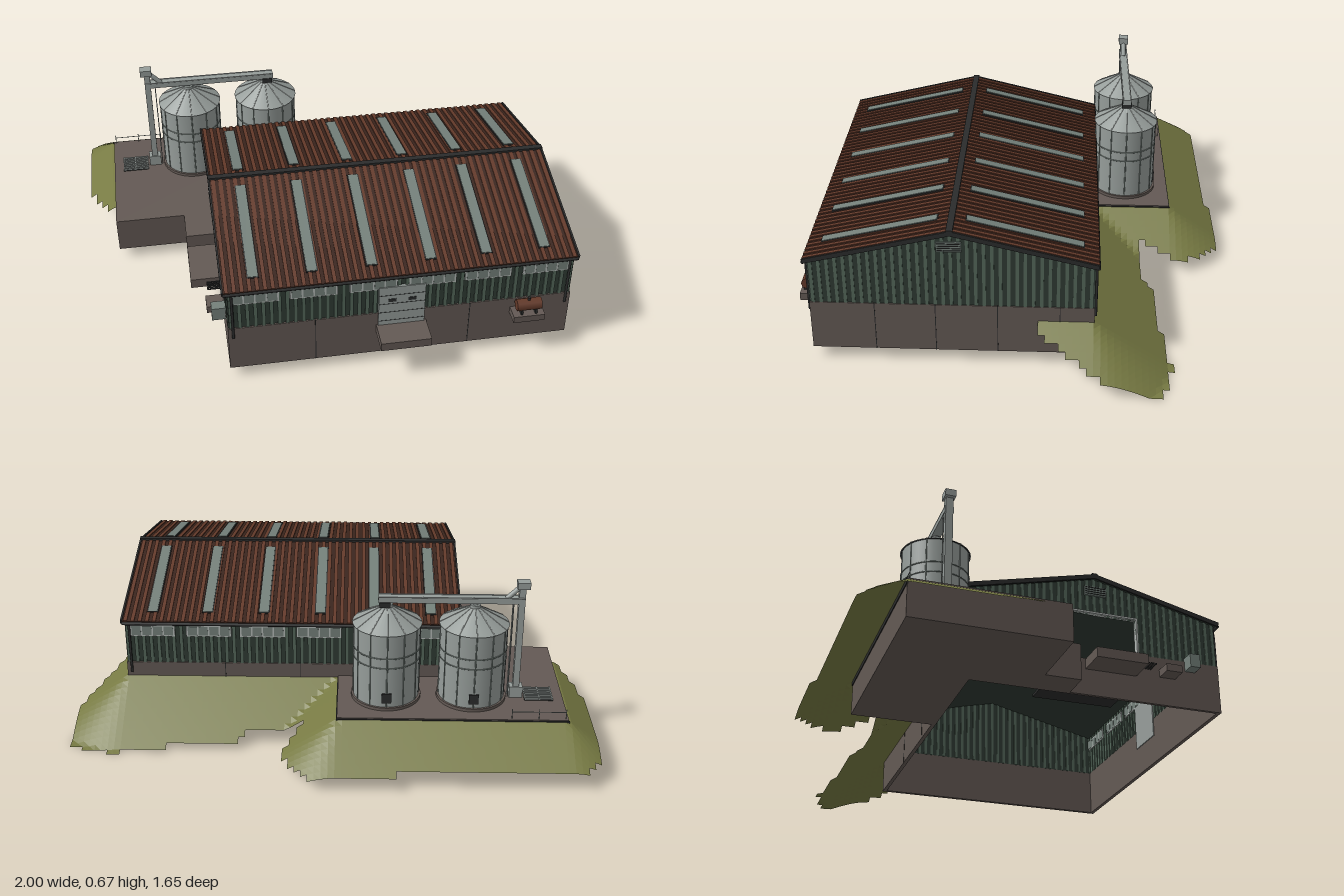
import * as THREE from 'three';

const mat = (name, color, side = THREE.FrontSide) => {
  const m = new THREE.MeshStandardMaterial({ color, side });
  m.name = name;
  return m;
};

export function createModel() {
  const root = new THREE.Group();
  root.name = 'farmBuilding';
  const M = {
    concrete: mat('concrete', 0x635954),
    dark: mat('darkSteel', 0x2b2c2c),
    green: mat('greenCladding', 0x54675a),
    greenDark: mat('darkGreenCladding', 0x2f3a33),
    rust: mat('rustRoof', 0x643a2a),
    rustDark: mat('darkRustRoof', 0x3a241c),
    steel: mat('galvanisedSteel', 0x969d9a),
    glass: mat('skylight', 0x74807a),
    trim: mat('paleTrim', 0xb2b7b4),
    grass: mat('grass', 0x777a43, THREE.DoubleSide),
  };
  const add = (name, geo, m, parent = root) => {
    const mesh = new THREE.Mesh(geo, m);
    mesh.name = name;
    parent.add(mesh);
    return mesh;
  };
  // box from its lowest to its highest corner
  const box = (name, m, x0, x1, y0, y1, z0, z1, parent) =>
    add(name, new THREE.BoxGeometry(x1 - x0, y1 - y0, z1 - z0)
      .translate((x0 + x1) / 2, (y0 + y1) / 2, (z0 + z1) / 2), m, parent);
  // round bar between two points
  const bar = (name, m, a, b, r = 0.003, parent = root) => {
    const p = new THREE.Vector3(...a), q = new THREE.Vector3(...b), d = q.clone().sub(p);
    const mesh = add(name, new THREE.CylinderGeometry(r, r, d.length(), 8), m, parent);
    mesh.position.copy(p).add(q).multiplyScalar(0.5);
    mesh.quaternion.setFromUnitVectors(new THREE.Vector3(0, 1, 0), d.normalize());
    return mesh;
  };
  const shape = (pts) => new THREE.Shape(pts.map((p) => new THREE.Vector2(...p)));

  // ---- barn dimensions
  const X0 = -0.49, X1 = 0.8, Z0 = -0.3, Z1 = 0.72, ZR = 0.21, T = 0.012;
  const Y0 = 0.045, YP = 0.242, YE = 0.423, YR = 0.545;
  const doorZ0 = 0.1, doorZ1 = 0.38, doorTop = 0.39, floorY = 0.195;
  const roofY = (z) => YR - (YR - YE) * Math.abs(z - ZR) / 0.51;

  // wall outline in (z, y), extruded along x with its outer face at x = 0..-T
  const endWall = (name, m, pts, x) => {
    const g = new THREE.ExtrudeGeometry(shape(pts), { depth: T, bevelEnabled: false }).rotateY(-Math.PI / 2);
    add(name, g, m).position.x = x;
  };
  // plinth, notched at the open doorway
  box('plinthFront', M.concrete, X0 - 0.004, X1 + 0.004, Y0, YP, Z1 - T, Z1 + 0.004);
  box('plinthBack', M.concrete, X0 - 0.004, X1 + 0.004, Y0, YP, Z0 - 0.004, Z0 + T);
  box('plinthLeft', M.concrete, X1 - T, X1 + 0.004, Y0, YP, Z0, Z1);
  endWall('plinthRight', M.concrete, [[Z0, Y0], [Z1, Y0], [Z1, YP], [doorZ1, YP], [doorZ1, floorY],
    [doorZ0, floorY], [doorZ0, YP], [Z0, YP]], X0 + T - 0.004);
  for (const x of [-0.17, 0.12, 0.415]) {
    box('plinthJoint', M.dark, x - 0.0015, x + 0.0015, Y0, YP, Z1, Z1 + 0.005);
    box('plinthJoint', M.dark, x - 0.0015, x + 0.0015, Y0, YP, Z0 - 0.005, Z0);
  }
  for (const z of [-0.18, 0.045, 0.27, 0.49]) box('plinthJoint', M.dark, X1, X1 + 0.005, Y0, YP, z - 0.0015, z + 0.0015);

  // cladding
  box('wallFront', M.greenDark, X0, X1, YP, YE, Z1 - 0.01, Z1 - 0.002);
  box('wallBack', M.greenDark, X0, X1, YP, YE, Z0 + 0.002, Z0 + 0.01);
  endWall('gableLeft', M.greenDark, [[Z0, YP], [Z1, YP], [Z1, YE], [ZR, YR], [Z0, YE]], X1);
  endWall('gableRight', M.greenDark, [[Z0, YP], [doorZ0, YP], [doorZ0, doorTop], [doorZ1, doorTop],
    [doorZ1, YP], [Z1, YP], [Z1, YE], [ZR, YR], [Z0, YE]], X0 + T);
  for (let i = 0; i < 44; i++) {
    const x = X0 + 0.012 + i * 0.0295;
    box('wallRib', M.green, x - 0.007, x + 0.007, YP, YE, Z1 - 0.013, Z1 + 0.003);
    box('wallRib', M.green, x - 0.007, x + 0.007, YP, YE, Z0 - 0.003, Z0 + 0.013);
  }
  for (let i = 0; i < 35; i++) {
    const z = Z0 + 0.01 + i * 0.0294, top = roofY(z) - 0.002;
    box('gableRib', M.green, X1 - 0.015, X1 + 0.003, YP, top, z - 0.006, z + 0.006);
    const open = z > doorZ0 - 0.006 && z < doorZ1 + 0.006;
    box('gableRib', M.green, X0 - 0.003, X0 + 0.015, open ? doorTop : YP, top, z - 0.006, z + 0.006);
  }

  // strip windows along both long walls
  const bays = [-0.39, -0.175, 0.045, 0.265, 0.475, 0.695];
  for (const x of bays) for (const z of [Z1 - 0.005, Z0 + 0.005]) {
    box('windowFrame', M.trim, x - 0.088, x + 0.088, 0.358, 0.406, z - 0.011, z + 0.011);
    for (let k = 0; k < 4; k++) {
      const px = x - 0.063 + k * 0.042;
      box('windowPane', M.glass, px - 0.018, px + 0.018, 0.363, 0.401, z - 0.012, z + 0.012);
    }
  }
  // gable vents with louvres
  for (const [x, s] of [[X1 + 0.003, 1], [X0 - 0.003, -1]]) {
    box('ventPanel', M.glass, x - 0.004, x + 0.004, 0.468, 0.508, 0.17, 0.26);
    for (let k = 0; k < 4; k++) box('ventLouvre', M.dark, x + s * 0.005 - 0.002, x + s * 0.005 + 0.002, 0.474 + k * 0.009, 0.476 + k * 0.009, 0.174, 0.256);
  }

  // ---- roof: two ribbed slopes with skylights
  const slope = Math.atan2(0.127, 0.525), L = 0.54;
  for (const side of [0, Math.PI]) {
    const turn = new THREE.Group();
    turn.name = side ? 'roofBack' : 'roofFront';
    turn.position.set(0.153, 0.551, ZR);
    turn.rotation.y = side;
    const pane = new THREE.Group();
    pane.name = 'roofSlope';
    pane.rotation.x = slope;
    turn.add(pane);
    root.add(turn);
    box('roofLining', M.greenDark, -0.655, 0.655, -0.008, -0.003, 0, L - 0.003, pane);
    box('roofSheet', M.rustDark, -0.658, 0.658, -0.003, 0.001, 0, L, pane);
    for (let i = 0; i < 47; i++) {
      const x = -0.644 + i * 0.028;
      box('roofRib', M.rust, x - 0.0075, x + 0.0075, 0, 0.005, 0, L, pane);
    }
    for (const x of bays) {
      box('skylightCurb', M.dark, x - 0.175, x - 0.131, 0, 0.006, 0.05, 0.485, pane);
      box('skylightPanel', M.glass, x - 0.171, x - 0.135, 0, 0.008, 0.053, 0.482, pane);
    }
    box('vergeTrim', M.dark, -0.663, -0.656, -0.012, 0.006, 0, L, pane);
    box('vergeTrim', M.dark, 0.656, 0.663, -0.012, 0.006, 0, L, pane);
    bar('gutter', M.dark, [-0.658, -0.009, L], [0.658, -0.009, L], 0.007, pane);
  }
  box('ridgeCap', M.dark, X0 - 0.02, X1 + 0.016, 0.55, 0.56, ZR - 0.012, ZR + 0.012);
  for (const x of [X0 + 0.015, X1 - 0.015]) for (const [e, w] of [[0.725, Z1 + 0.008], [-0.307, Z0 - 0.008]]) {
    bar('downpipe', M.dark, [x, 0.415, e], [x, 0.37, w], 0.005);
    bar('downpipe', M.dark, [x, 0.37, w], [x, 0.2, w], 0.005);
  }

  // ---- front sectional door with its step
  box('frontDoor', M.steel, 0.065, 0.24, 0.165, 0.368, Z1 - 0.016, Z1 + 0.01);
  for (let k = 1; k < 5; k++) box('doorSeam', M.dark, 0.065, 0.24, 0.164 + k * 0.041, 0.166 + k * 0.041, Z1, Z1 + 0.011);
  for (const x of [0.1, 0.175]) box('doorWindow', M.dark, x, x + 0.03, 0.298, 0.312, Z1, Z1 + 0.012);
  box('frontStep', M.concrete, 0.058, 0.248, 0.15, 0.185, Z1, 0.83);

  // fuel tank on a bracket slab
  box('tankSlab', M.concrete, 0.572, 0.692, 0.172, 0.2, Z1, 0.785);
  bar('fuelTank', M.rust, [0.585, 0.236, 0.757], [0.68, 0.236, 0.757], 0.023);
  for (const x of [0.605, 0.66]) box('tankCradle', M.dark, x - 0.004, x + 0.004, 0.2, 0.22, 0.74, 0.775);
  bar('tankFiller', M.dark, [0.632, 0.255, 0.757], [0.632, 0.268, 0.757], 0.006);

  // ---- right end: closed door, docks, open doorway and utility boxes
  box('sideDoor', M.steel, X0 - 0.008, X0 + 0.014, floorY, 0.375, -0.17, 0.04);
  for (let k = 1; k < 5; k++) box('doorSeam', M.dark, X0 - 0.009, X0, 0.194 + k * 0.036, 0.196 + k * 0.036, -0.17, 0.04);
  box('doorFrame', M.trim, X0 - 0.008, X0 + 0.014, floorY, doorTop + 0.008, doorZ0 - 0.008, doorZ0);
  box('doorFrame', M.trim, X0 - 0.008, X0 + 0.014, floorY, doorTop + 0.008, doorZ1, doorZ1 + 0.008);
  box('doorFrame', M.trim, X0 - 0.008, X0 + 0.014, doorTop, doorTop + 0.008, doorZ0, doorZ1);
  box('dockNear', M.concrete, -0.61, X0, Y0, 0.19, -0.04, 0.1);
  box('dockFar', M.concrete, -0.61, X0, 0.15, 0.19, 0.165, 0.372);
  for (let k = 0; k < 5; k++) box('stepGrating', M.dark, -0.55, X0, 0.186, 0.19, 0.39 + k * 0.01, 0.395 + k * 0.01);
  box('utilitySlab', M.concrete, -0.56, X0, 0.16, 0.19, 0.47, 0.535);
  box('utilityBox', M.glass, -0.545, X0, 0.2, 0.255, 0.58, 0.622);

  // interior floor with pen rails
  box('innerFloor', M.dark, X0 + 0.008, -0.115, 0.183, floorY, 0.09, 0.43);
  for (const z of [0.14, 0.26, 0.4]) {
    for (const y of [0.225, 0.255, 0.285]) bar('penRail', M.trim, [-0.4, y, z], [-0.13, y, z], 0.003);
    for (const x of [-0.4, -0.265, -0.13]) bar('penPost', M.trim, [x, floorY, z], [x, 0.29, z], 0.004);
  }

  // ---- L-shaped silo yard
  const yard = [[-0.89, -0.625], [-0.03, -0.625], [-0.03, -0.304], [-0.494, -0.304], [-0.494, -0.04], [-0.89, -0.04]];
  const slab = (name, m, y0, y1) => add(name, new THREE.ExtrudeGeometry(shape(yard.map(([x, z]) => [x, -z])),
    { depth: y1 - y0, bevelEnabled: false }).rotateX(-Math.PI / 2), m).position.y = y0;
  slab('yardBase', M.concrete, Y0, 0.19);
  box('yardEdge', M.dark, -0.893, -0.027, 0.166, 0.187, -0.628, -0.622);
  box('yardEdge', M.dark, -0.033, -0.027, 0.166, 0.187, -0.625, -0.304);

  // ---- two silos
  const SZ = -0.44;
  for (const x of [-0.54, -0.215]) {
    const silo = new THREE.Group();
    silo.name = 'silo';
    silo.position.set(x, 0.19, SZ);
    root.add(silo);
    add('siloBase', new THREE.CylinderGeometry(0.133, 0.133, 0.012, 40), M.concrete, silo).position.y = 0.006;
    add('siloBody', new THREE.CylinderGeometry(0.125, 0.125, 0.3, 40), M.steel, silo).position.y = 0.16;
    add('siloRoof', new THREE.CylinderGeometry(0.018, 0.131, 0.064, 40), M.steel, silo).position.y = 0.342;
    add('siloCap', new THREE.CylinderGeometry(0.02, 0.02, 0.014, 20), M.steel, silo).position.y = 0.378;
    for (const y of [0.175, 0.215, 0.31]) {
      const ring = add('siloBand', new THREE.TorusGeometry(0.126, 0.0022, 6, 40), y > 0.3 ? M.dark : M.glass, silo);
      ring.rotation.x = Math.PI / 2;
      ring.position.y = y;
    }
    for (let k = 0; k < 12; k++) {
      const a = (k / 12) * Math.PI * 2, c = Math.cos(a), s = Math.sin(a);
      bar('siloStiffener', M.glass, [0.125 * c, 0.012, 0.125 * s], [0.125 * c, 0.31, 0.125 * s], 0.0025, silo);
      bar('siloRoofSeam', M.trim, [0.13 * c, 0.311, 0.13 * s], [0.02 * c, 0.373, 0.02 * s], 0.0018, silo);
    }
    box('siloHatch', M.dark, -0.018, 0.018, 0.03, 0.07, -0.129, -0.12, silo);
    bar('siloSpout', M.steel, [0, 0.375, 0], [0, 0.4, 0], 0.011, silo);
  }

  // ---- bucket elevator and overhead conveyor
  box('elevatorLeg', M.steel, -0.722, -0.698, 0.19, 0.65, SZ - 0.014, SZ + 0.014);
  box('elevatorBoot', M.steel, -0.735, -0.685, 0.19, 0.235, SZ - 0.02, SZ + 0.02);
  box('elevatorHead', M.steel, -0.737, -0.69, 0.643, 0.67, SZ - 0.02, SZ + 0.02);
  bar('elevatorChute', M.steel, [-0.7, 0.645, SZ], [-0.655, 0.6, SZ], 0.01);
  box('conveyor', M.steel, -0.72, -0.18, 0.583, 0.604, SZ - 0.017, SZ + 0.017);
  box('conveyorDrive', M.dark, -0.225, -0.185, 0.565, 0.585, SZ - 0.02, SZ + 0.02);
  for (const s of [-1, 1]) {
    bar('ladderRail', M.steel, [-0.68, 0.19, SZ + s * 0.012], [-0.68, 0.58, SZ + s * 0.012], 0.0018);
    bar('conveyorFlange', M.trim, [-0.72, 0.606, SZ + s * 0.016], [-0.18, 0.606, SZ + s * 0.016], 0.002);
  }
  for (let k = 0; k < 18; k++) bar('ladderRung', M.steel, [-0.68, 0.21 + k * 0.021, SZ - 0.012], [-0.68, 0.21 + k * 0.021, SZ + 0.012], 0.0014);

  // intake grate and low guard rail
  box('intakePit', M.dark, -0.85, -0.742, 0.19, 0.194, -0.482, -0.392);
  for (let k = 0; k < 7; k++) box('intakeBar', M.steel, -0.85, -0.742, 0.193, 0.2, -0.481 + k * 0.0138, -0.476 + k * 0.0138);
  for (const x of [-0.85, -0.8, -0.746]) box('intakeBar', M.steel, x, x + 0.004, 0.193, 0.201, -0.482, -0.392);
  bar('guardRail', M.steel, [-0.88, 0.218, -0.615], [-0.68, 0.218, -0.615], 0.0015);
  for (const x of [-0.88, -0.78, -0.68]) bar('guardPost', M.steel, [x, 0.19, -0.615], [x, 0.23, -0.615], 0.0015);

  // ---- grass banks: stepped-edge sheet falling away from the walls
  const edge = [[-0.85, -0.13], [-0.91, -0.15], [-0.95, -0.23], [-1, -0.34], [-1, -0.73], [-0.95, -0.79], [-0.85, -0.812],
    [-0.25, -0.812], [-0.24, -0.832], [0.07, -0.832], [0.13, -0.75], [0.166, -0.7], [0.166, -0.62], [0.1, -0.49], [0.29, -0.5],
    [0.38, -0.55], [0.78, -0.57], [0.8, -0.592], [0.88, -0.585], [1, -0.55], [1, -0.35], [0.92, -0.21], [0.85, -0.11], [0.7, -0.1]];
  const inside = (x, z) => edge.reduce((on, [ax, az], i) => {
    const [bx, bz] = edge[(i + 1) % edge.length];
    return (az > z) !== (bz > z) && x < ((bx - ax) * (z - az)) / (bz - az) + ax ? !on : on;
  }, false);
  const away = (x, z, a, b, c, d) => Math.hypot(Math.max(a - x, 0, x - b), Math.max(c - z, 0, z - d));
  const fall = (x, z) => Math.min(away(x, z, X0, X1, Z0, Z1), away(x, z, -0.89, -0.03, -0.625, -0.04));
  const pos = [], S = 0.025;
  for (let i = -72; i < 8; i++) for (let j = -22; j < 9; j++) {
    const x = X1 + i * S, z = Z0 + j * S;
    const quad = [[x, z], [x, z + S], [x + S, z + S], [x + S, z]];
    if (!inside(x + S / 2, z + S / 2) || quad.every(([a, b]) => fall(a, b) < 1e-6)) continue;
    for (const k of [0, 1, 2, 0, 2, 3]) {
      const [a, b] = quad[k];
      pos.push(a, Math.max(0, 0.185 - 0.65 * fall(a, b)), b);
    }
  }
  const bank = new THREE.BufferGeometry();
  bank.setAttribute('position', new THREE.Float32BufferAttribute(pos, 3));
  bank.computeVertexNormals();
  add('grassBank', bank, M.grass);

  return root;
}
